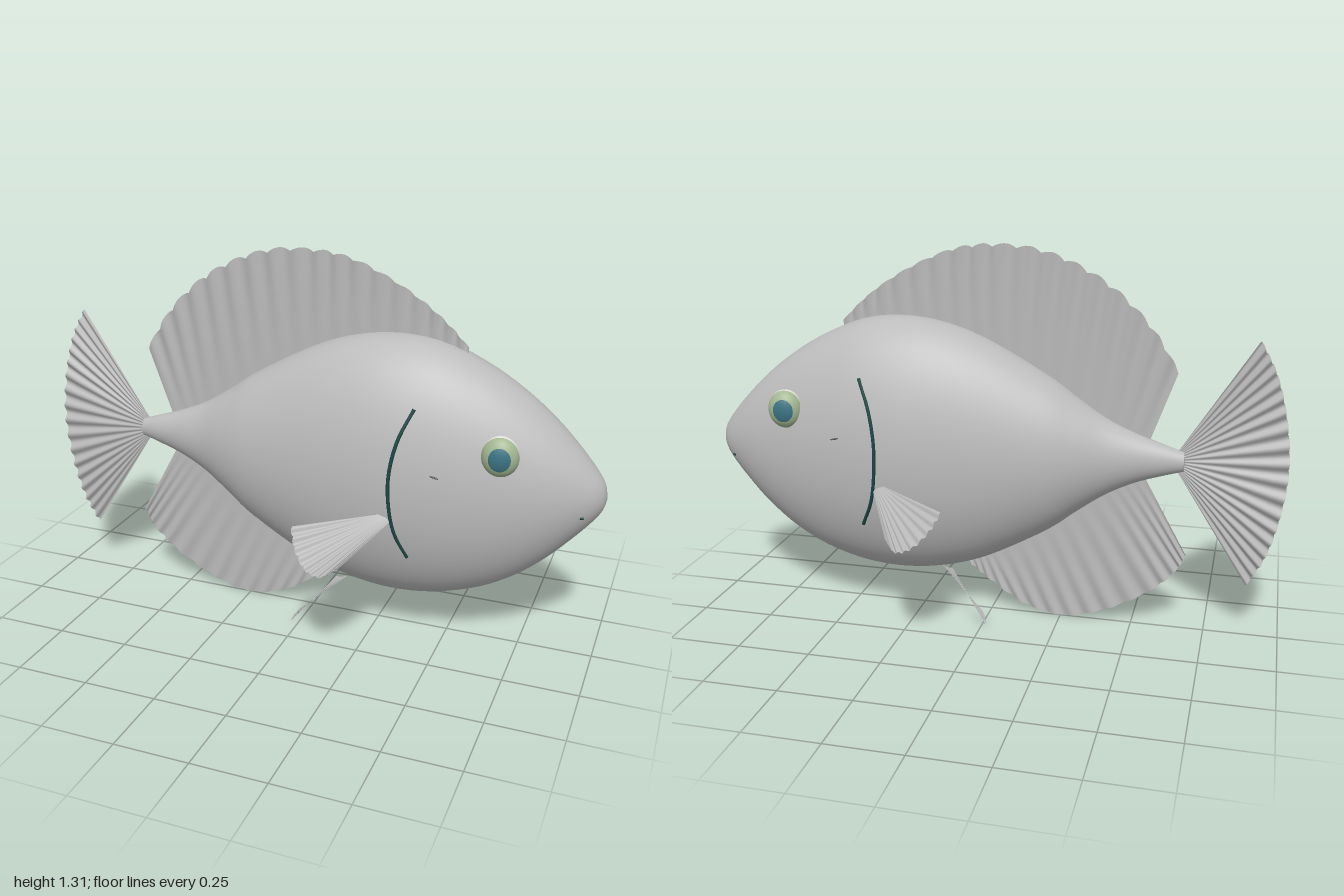
import * as THREE from 'three';

const V = (x, y, z = 0) => new THREE.Vector3(x, y, z);
const mat = (name, color, side = THREE.FrontSide) => {
  const m = new THREE.MeshStandardMaterial({ color, side });
  m.name = name;
  return m;
};

// Body stations: x, top, bottom, half width
const STATIONS = [
  [-0.66, 0.635, 0.57, 0.025], [-0.6, 0.655, 0.553, 0.038], [-0.5, 0.69, 0.52, 0.06],
  [-0.4, 0.735, 0.47, 0.088], [-0.3, 0.8, 0.4, 0.13], [-0.2, 0.87, 0.325, 0.165],
  [0, 0.98, 0.215, 0.207], [0.15, 1.035, 0.165, 0.23], [0.3, 1.056, 0.145, 0.242],
  [0.45, 1.04, 0.155, 0.234], [0.6, 0.978, 0.198, 0.208], [0.72, 0.905, 0.262, 0.177],
  [0.82, 0.825, 0.342, 0.143], [0.9, 0.745, 0.425, 0.106], [0.96, 0.675, 0.495, 0.068],
  [0.99, 0.63, 0.54, 0.035], [1, 0.59, 0.575, 0.006],
];
const spline = (pts) => new THREE.CatmullRomCurve3(pts, false, 'catmullrom', 0.5);
const upper = spline(STATIONS.map(([x, top, , w]) => V(x, top, w)));
const lower = spline(STATIONS.map(([x, , bottom, w]) => V(x, bottom, w)));

function sectionAt(t) {
  const a = upper.getPoint(t), b = lower.getPoint(t);
  return { x: a.x, cy: (a.y + b.y) / 2, h: (a.y - b.y) / 2, w: a.z };
}

// Point on the left flank at a given x and y
function onBody(x, y) {
  let lo = 0, hi = 1;
  for (let i = 0; i < 30; i++) {
    const mid = (lo + hi) / 2;
    if (upper.getPoint(mid).x < x) lo = mid; else hi = mid;
  }
  const s = sectionAt(lo), k = (y - s.cy) / s.h;
  return V(x, y, s.w * Math.sqrt(Math.max(0, 1 - k * k)));
}

// Elliptical loops joined into a closed skin
function bodyGeometry(rings = 80, sides = 64) {
  const pos = [], idx = [];
  for (let i = 0; i <= rings; i++) {
    const s = sectionAt(i / rings);
    for (let j = 0; j < sides; j++) {
      const a = (j / sides) * Math.PI * 2;
      pos.push(s.x, s.cy + s.h * Math.cos(a), s.w * Math.sin(a));
    }
  }
  for (let i = 0; i < rings; i++) {
    for (let j = 0; j < sides; j++) {
      const a = i * sides + j, b = i * sides + (j + 1) % sides;
      idx.push(a, b, a + sides, b, b + sides, a + sides);
    }
  }
  const nose = pos.length / 3;
  pos.push(1, 0.5825, 0);
  for (let j = 0; j < sides; j++) {
    idx.push(rings * sides + j, rings * sides + (j + 1) % sides, nose);
  }
  return gridGeometry(pos, idx);
}

function gridGeometry(pos, idx) {
  const g = new THREE.BufferGeometry();
  g.setAttribute('position', new THREE.Float32BufferAttribute(pos, 3));
  g.setIndex(idx);
  g.computeVertexNormals();
  return g;
}

// Rayed membrane spanned between a base curve and an edge curve
function finGeometry(base, edge, { rays = 12, ripple = 0.005, scallop = 0, dir = V(0, 0, 1) }) {
  const b = new THREE.CatmullRomCurve3(base), e = new THREE.CatmullRomCurve3(edge);
  const nu = rays * 8, nv = 8, pos = [], idx = [];
  for (let i = 0; i <= nu; i++) {
    const u = i / nu, p = b.getPoint(u), q = e.getPoint(u);
    const wave = Math.sin(u * rays * Math.PI * 2);
    const cut = 1 - scallop * (1 - Math.abs(Math.sin(u * rays * Math.PI)));
    for (let j = 0; j <= nv; j++) {
      const v = j / nv;
      const r = p.clone().lerp(q, v * cut).addScaledVector(dir, ripple * wave * v);
      pos.push(r.x, r.y, r.z);
      if (i < nu && j < nv) {
        const k = i * (nv + 1) + j;
        idx.push(k, k + nv + 1, k + 1, k + 1, k + nv + 1, k + nv + 2);
      }
    }
  }
  return gridGeometry(pos, idx);
}

export function createModel() {
  const root = new THREE.Group();
  root.name = 'fish';
  const skin = mat('body grey', 0xbcbcbc);
  const finMat = mat('fin grey', 0xb8b8b8, THREE.DoubleSide);
  const white = mat('eye white', 0xe2e2de);
  const green = mat('iris green', 0xa3b892);
  const teal = mat('pupil teal', 0x3c7484);
  const dark = mat('gill dark teal', 0x1c4640);
  const shade = mat('mark grey', 0x5a5a5a);

  const add = (name, geo, material, parent = root) => {
    const m = new THREE.Mesh(geo, material);
    m.name = name;
    parent.add(m);
    return m;
  };

  add('body', bodyGeometry(), skin);
  const cap = add('tailRootCap', new THREE.CircleGeometry(1, 32), skin);
  cap.scale.set(0.025, 0.0325, 1);
  cap.rotation.y = -Math.PI / 2;
  cap.position.set(-0.66, 0.6025, 0);

  // Fins on the centre line
  add('dorsalFin', finGeometry(
    [V(-0.54, 0.66), V(-0.4, 0.72), V(-0.2, 0.855), V(0, 0.965), V(0.2, 1.03), V(0.4, 1.035), V(0.53, 0.99)],
    [V(-0.63, 0.91), V(-0.54, 1.05), V(-0.42, 1.17), V(-0.29, 1.25), V(-0.15, 1.298), V(0, 1.308),
      V(0.12, 1.292), V(0.25, 1.24), V(0.37, 1.17), V(0.46, 1.1), V(0.53, 1.03)],
    { rays: 18, ripple: 0.006, scallop: 0.035 }), finMat);
  add('analFin', finGeometry(
    [V(-0.53, 0.54), V(-0.4, 0.48), V(-0.2, 0.335), V(0, 0.225), V(0.09, 0.19)],
    [V(-0.68, 0.27), V(-0.655, 0.22), V(-0.58, 0.14), V(-0.42, 0.045), V(-0.27, 0.002),
      V(-0.125, 0.03), V(0.01, 0.115), V(0.08, 0.168)],
    { rays: 16, ripple: 0.005, scallop: 0.01 }), finMat);
  add('tailFin', finGeometry(
    [V(-0.63, 0.625), V(-0.625, 0.602), V(-0.63, 0.58)],
    [V(-0.885, 1.025), V(-0.94, 0.92), V(-0.98, 0.78), V(-1, 0.6), V(-0.98, 0.42), V(-0.94, 0.28), V(-0.885, 0.18)],
    { rays: 18, ripple: 0.007, scallop: 0.01 }), finMat);

  // Paired parts, modelled on the left and mirrored
  for (const side of [1, -1]) {
    const name = side > 0 ? 'left' : 'right';
    const at = (x, y, z) => V(x, y, z * side);

    add(name + 'PectoralFin', finGeometry(
      [at(0.32, 0.515, 0.235), at(0.34, 0.507, 0.235), at(0.355, 0.495, 0.235)],
      [at(0.07, 0.495, 0.385), at(0.1, 0.44, 0.43), at(0.15, 0.392, 0.466), at(0.2, 0.378, 0.47), at(0.25, 0.4, 0.42)],
      { rays: 9, ripple: 0.004, scallop: 0.02, dir: at(0.3, 0.8, 0.5) }), finMat);
    add(name + 'PelvicFin', finGeometry(
      [at(0.16, 0.185, 0.08), at(0.14, 0.18, 0.085), at(0.12, 0.18, 0.09)],
      [at(0, 0.05, 0.135), at(-0.015, 0.03, 0.155), at(-0.02, 0.015, 0.17)],
      { rays: 4, ripple: 0.002 }), finMat);

    // Eye: one flattened ball cut into white, iris and pupil bands
    const eye = new THREE.Group();
    eye.name = name + 'Eye';
    eye.position.set(0.685, 0.745, 0.172 * side);
    eye.rotation.set(side * Math.PI / 2, 0, side * -0.12, 'YXZ');
    eye.scale.set(0.06, 0.043, 0.067);
    const band = (part, m, from, to) =>
      add(part, new THREE.SphereGeometry(1, 40, 16, 0, Math.PI * 2, from, to - from), m, eye);
    band('pupil', teal, 0, 0.62);
    band('iris', green, 0.62, 1.35);
    band('eyeWhite', white, 1.35, Math.PI);
    root.add(eye);

    // Gill slit laid along the flank
    const gill = new THREE.CatmullRomCurve3(
      [[0.41, 0.87], [0.368, 0.77], [0.347, 0.66], [0.348, 0.56], [0.365, 0.455], [0.405, 0.36]].map(([x, y]) => {
        const p = onBody(x, y);
        return at(p.x, p.y, p.z);
      }));
    add(name + 'GillSlit', new THREE.TubeGeometry(gill, 48, 0.006, 8), dark);

    // Small marks
    const spot = (part, m, x, y, sx, sy, tilt) => {
      const p = onBody(x, y);
      const s = add(part, new THREE.SphereGeometry(1, 12, 8), m);
      s.position.set(p.x, p.y, p.z * side);
      s.scale.set(sx, sy, 0.004);
      s.rotation.z = tilt;
    };
    spot(name + 'Nostril', dark, 0.935, 0.535, 0.008, 0.005, 0);
    spot(name + 'CheekMark', shade, 0.49, 0.665, 0.016, 0.003, -0.25);
  }
  return root;
}
